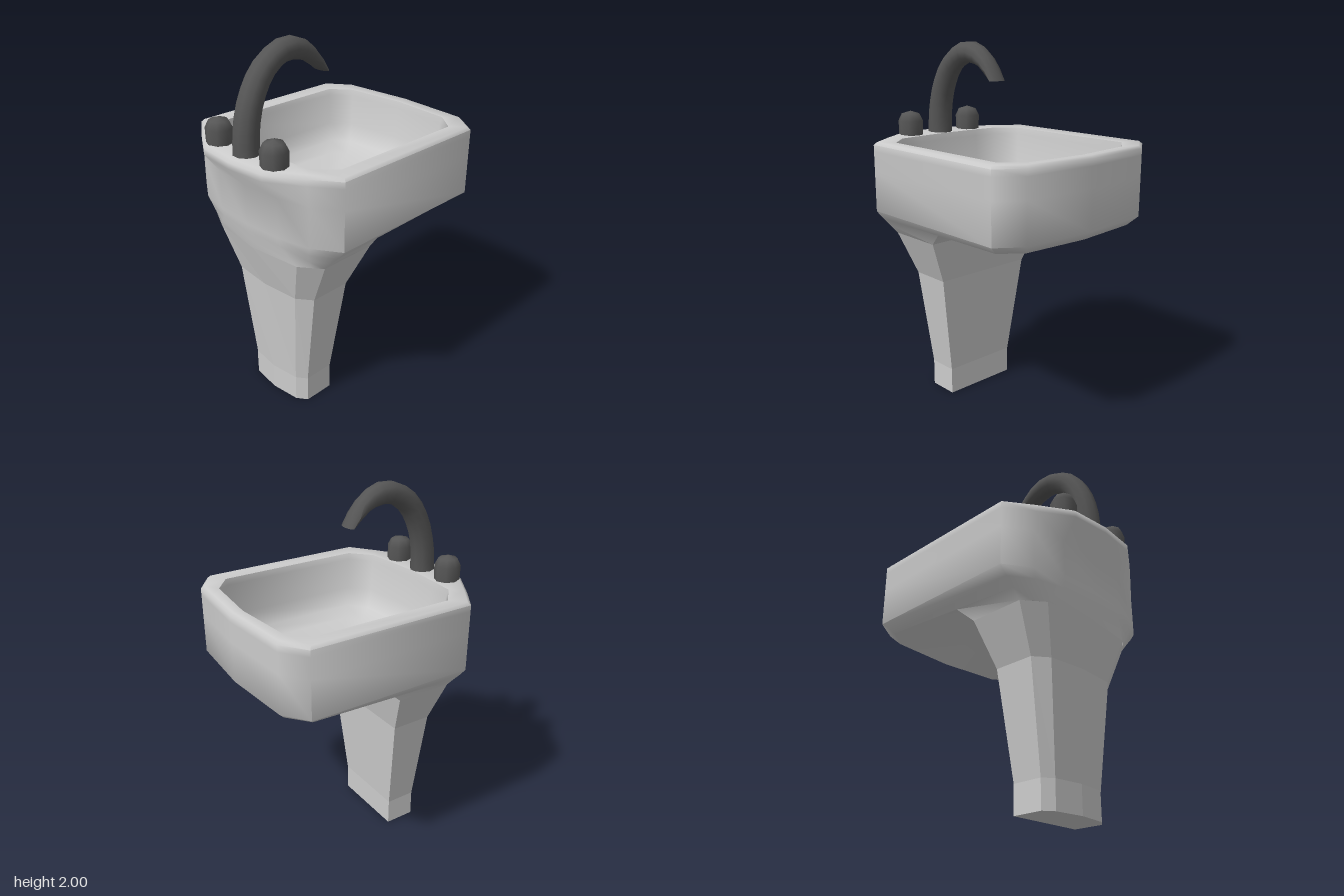
import * as THREE from 'three';
import { toCreasedNormals } from 'three/addons/utils/BufferGeometryUtils.js';

// Skin a list of rings (equal point counts); optionally close either end with a fan.
function loft(rings, capStart, capEnd) {
  const centre = (r) => {
    const c = r.reduce((s, p) => s.add(p), new THREE.Vector3()).divideScalar(r.length);
    return r.map(() => c);
  };
  const rows = [...rings];
  if (capStart) rows.unshift(centre(rings[0]));
  if (capEnd) rows.push(centre(rings[rings.length - 1]));
  const out = [];
  const tri = (a, b, c) => {
    if (a !== b && b !== c && a !== c) for (const p of [a, b, c]) out.push(p.x, p.y, p.z);
  };
  for (let k = 0; k + 1 < rows.length; k++) {
    const a = rows[k], b = rows[k + 1], n = a.length;
    for (let i = 0; i < n; i++) {
      const j = (i + 1) % n;
      tri(a[i], a[j], b[i]);
      tri(a[j], b[j], b[i]);
    }
  }
  const g = new THREE.BufferGeometry();
  g.setAttribute('position', new THREE.Float32BufferAttribute(out, 3));
  g.computeVertexNormals();
  return g;
}

// Mirror a half outline of [x, z, (own y)] running from back centre to front centre.
function ring(half, y) {
  const right = half.map(([x, z, py = y]) => new THREE.Vector3(x, py, z));
  const left = right.slice(1, -1).reverse().map((p) => new THREE.Vector3(-p.x, p.y, p.z));
  return [...right, ...left];
}

// Scale an outline about the middle of the basin.
const scaled = (half, s) => half.map(([x, z]) => [x * s, -0.055 + (z + 0.055) * s]);

export function createModel() {
  const model = new THREE.Group();
  const ceramic = new THREE.MeshStandardMaterial({ color: 0xcccccc, side: THREE.DoubleSide });
  const facetedCeramic = new THREE.MeshStandardMaterial({ color: 0xcccccc, flatShading: true });
  const metal = new THREE.MeshStandardMaterial({ color: 0x555555 });
  const black = new THREE.MeshStandardMaterial({ color: 0x0a0a0a });
  const add = (name, geometry, material) => {
    const mesh = new THREE.Mesh(geometry, material);
    mesh.name = name;
    model.add(mesh);
    return mesh;
  };

  // Bowl: basin floor, up the inside, over the rim, down the outside to the pedestal
  const inner = [[0, -0.575], [0.335, -0.545], [0.445, -0.455], [0.445, 0.34], [0.335, 0.44], [0.2, 0.452], [0, 0.465]];
  const rim = [[0, -0.645], [0.41, -0.615], [0.54, -0.52], [0.54, 0.41], [0.4, 0.51], [0.22, 0.625], [0, 0.645]];
  const body = [...rim.slice(0, 4), [0.4, 0.5], [0.22, 0.54], [0, 0.555]];
  const under = [[0, -0.6], [0.37, -0.57], [0.48, -0.48], [0.5, 0.41], [0.38, 0.49], [0.22, 0.53], [0, 0.545]];
  const neck = [[0, -0.02, 1.06], [0.22, -0.02, 1.06], [0.44, -0.01, 1.06], [0.455, 0.41], [0.37, 0.475], [0.26, 0.515], [0, 0.54]];
  const collar = [[0, 0.09], [0.2, 0.09], [0.41, 0.09], [0.41, 0.41], [0.36, 0.45], [0.3, 0.495], [0, 0.53]];
  const bowl = loft([
    ring(scaled(inner, 0.7), 1.145),
    ring(scaled(inner, 0.87), 1.185),
    ring(scaled(inner, 0.95), 1.28),
    ring(scaled(inner, 0.985), 1.45),
    ring(inner, 1.485),
    ring(scaled(rim, 0.975), 1.49),
    ring(rim, 1.475),
    ring(rim, 1.44),
    ring(body, 1.33),
    ring(body, 1.115),
    ring(under, 1.067),
    ring(neck, 1.02),
    ring(collar, 0.97),
  ], true, false);
  add('bowl', toCreasedNormals(bowl, 1.1), ceramic);

  // Pedestal: faceted column narrowing to a straight foot
  const column = (w, back, side, fx, fz, front) => [[0, back], [w, back], [w, side], [fx, fz], [0, front]];
  const foot = column(0.22, 0.19, 0.36, 0.165, 0.4, 0.42);
  add('pedestal', loft([
    ring(column(0.41, 0.09, 0.41, 0.3, 0.495, 0.53), 0.97),
    ring(column(0.3, 0.15, 0.38, 0.22, 0.44, 0.46), 0.72),
    ring(foot, 0.15),
    ring(foot, 0),
  ], false, true), facetedCeramic);

  // Drain
  add('drain', new THREE.CylinderGeometry(0.115, 0.115, 0.02, 10), black).position.set(0, 1.143, 0.05);

  // Spout: swept ring along an arch, flattening at the outlet
  const path = new THREE.CatmullRomCurve3(
    [[1.47, 0.535], [1.62, 0.525], [1.76, 0.485], [1.88, 0.405], [1.945, 0.28], [1.925, 0.17], [1.87, 0.095], [1.8, 0.037]]
      .map(([y, z]) => new THREE.Vector3(0, y, z)));
  const spoutRings = [];
  const steps = 14, sides = 10;
  for (let k = 0; k <= steps; k++) {
    const t = k / steps;
    const c = path.getPointAt(t), d = path.getTangentAt(t);
    if (k === 0) d.set(0, 1, 0);
    const wide = 0.069 - 0.015 * t;
    const thick = wide * (1 - 0.6 * Math.max(0, (t - 0.75) / 0.25));
    const flat = k === steps ? new THREE.Vector3(0, 0, 1) : new THREE.Vector3(0, d.z, -d.y);
    spoutRings.push(Array.from({ length: sides }, (_, i) => {
      const a = (i / sides) * Math.PI * 2;
      return c.clone().addScaledVector(flat, Math.sin(a) * thick).add(new THREE.Vector3(Math.cos(a) * wide, 0, 0));
    }));
  }
  add('spout', toCreasedNormals(loft(spoutRings, true, true), 1), metal);

  // Tap knobs
  const knob = new THREE.LatheGeometry(
    [[0.068, 1.47], [0.07, 1.565], [0.05, 1.605], [0, 1.62]].map(([r, y]) => new THREE.Vector2(r, y)), 8);
  for (const s of [-1, 1]) {
    add(s > 0 ? 'leftKnob' : 'rightKnob', knob, metal).position.set(s * 0.208, 0, 0.535);
  }
  return model;
}
